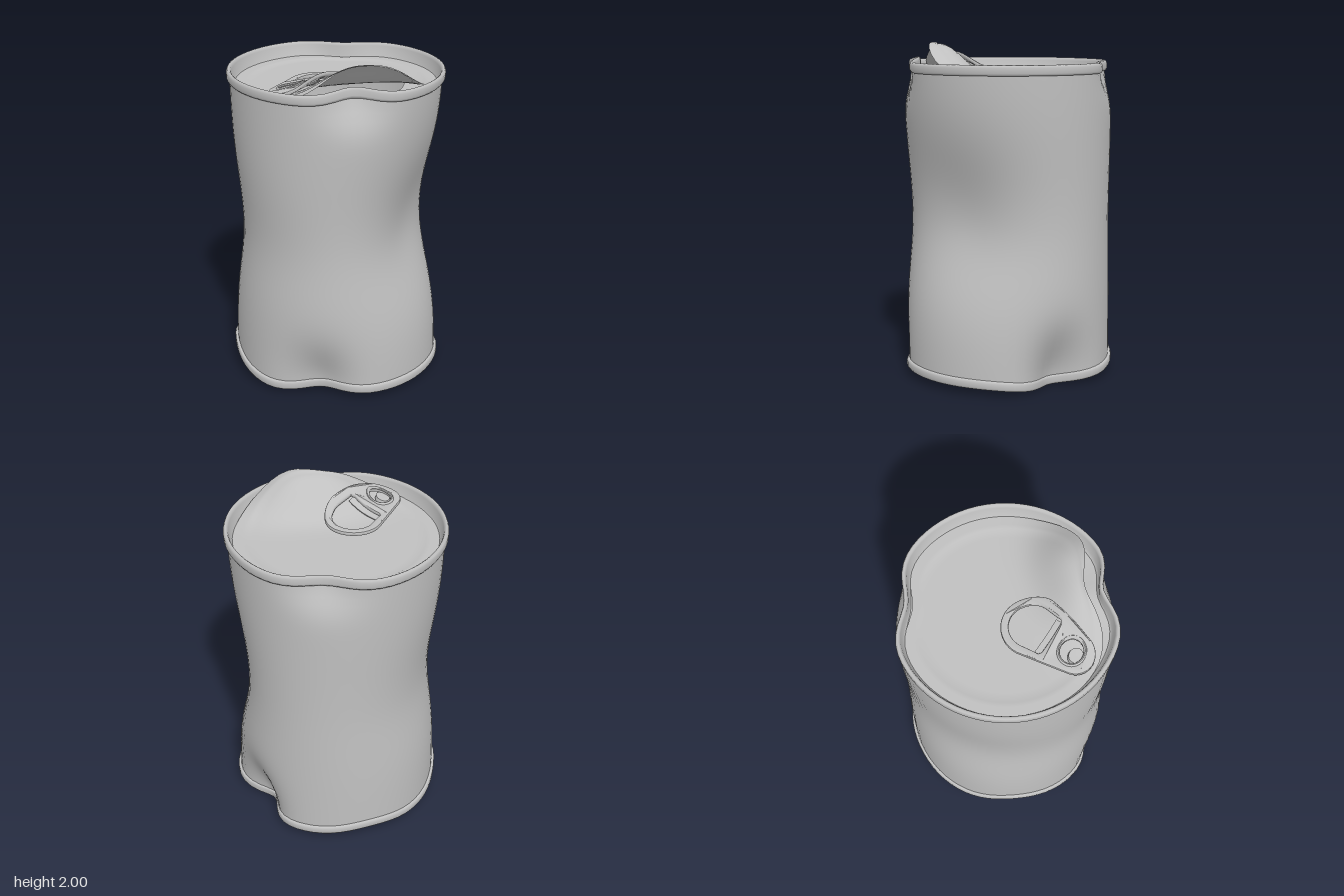
import * as THREE from 'three';
import { mergeVertices, toCreasedNormals } from 'three/addons/utils/BufferGeometryUtils.js';

const DEG = Math.PI / 180;
const metal = new THREE.MeshStandardMaterial({ color: 0xc0c0c0, side: THREE.DoubleSide });
metal.name = 'bare metal';

const bell = (d, s, power = 2) => Math.exp(-Math.pow(Math.abs(d / s), power));
// Bell curve around a compass angle (0 = +x, 90 = +z)
function around(theta, centre, width) {
  const d = ((theta / DEG - centre + 540) % 360) - 180;
  return bell(d, width);
}

// Dents: angle, angular width, height, extent below / above, depth
const DENTS = [
  [44, 15, 1.86, 0.14, 0.4, 0.1],      // top edge, front
  [-122, 17, 1.86, 0.15, 0.4, 0.085],  // top edge, back
  [-10, 50, 0.97, 0.42, 0.48, 0.175],  // big waist dent
  [160, 52, 0.95, 0.38, 0.45, 0.068],  // small waist dent
  [64, 18, 0.06, 0.3, 0.25, 0.12],     // bottom edge, front
  [-72, 17, 0.06, 0.3, 0.25, 0.16]     // bottom edge, back
];

function squeeze(theta, y) {
  let depth = 0;
  for (const [angle, width, h, below, above, amount] of DENTS) {
    depth += amount * around(theta, angle, width) * bell(y - h, y < h ? below : above);
  }
  return 1 - depth / 0.635;
}

function lift(theta, y) {
  const top = bell(y - 1.86, 0.12) * 0.028 * around(theta, 44, 15);
  const bottom = bell(y - 0.06, 0.2) * (
    0.075 * around(theta, 140, 20) + 0.035 * around(theta, -147, 20)
    - 0.04 * around(theta, -68, 24) - 0.02 * around(theta, 88, 22));
  return top + bottom;
}

// Height of the lid, curling up beside the front dent
function lidHeight(x, z) {
  const c = Math.cos(40 * DEG), s = Math.sin(40 * DEG);
  const dx = x - 0.38, dz = z - 0.22;
  const inward = Math.max(0, -dx * c - dz * s);
  const across = dz * c - dx * s;
  return 1.8 + 0.2 * bell(inward, 0.2, 2.3) * bell(across, across > 0 ? 0.35 : 0.3, 2.5);
}

// Turned profile whose vertices are moved by a rule
function turned(name, profile, move) {
  let g = new THREE.LatheGeometry(profile.map(([r, y]) => new THREE.Vector2(r, y)), 72);
  g.deleteAttribute('uv');
  g.deleteAttribute('normal');
  g = mergeVertices(g);
  const p = g.attributes.position;
  for (let i = 0; i < p.count; i++) {
    const x = p.getX(i), y = p.getY(i), z = p.getZ(i);
    p.setXYZ(i, ...move(x, y, z, Math.atan2(z, x)));
  }
  g.computeVertexNormals();
  const mesh = new THREE.Mesh(g, metal);
  mesh.name = name;
  return mesh;
}

function crush(x, y, z, theta) {
  const k = squeeze(theta, y);
  return [x * k, y + lift(theta, y), z * k];
}

// Lays a flat part onto the curved lid
function onLid(name, geometry, gap) {
  const p = geometry.attributes.position;
  for (let i = 0; i < p.count; i++) {
    p.setY(i, p.getY(i) + gap + lidHeight(p.getX(i), p.getZ(i)));
  }
  const mesh = new THREE.Mesh(toCreasedNormals(geometry, 0.7), metal);
  mesh.name = name;
  return mesh;
}

// Straight edge in short steps, so that it can follow the lid
function steppedLine(path, x, y) {
  const from = path.currentPoint.clone(), to = new THREE.Vector2(x, y);
  for (let i = 1; i <= 8; i++) {
    const q = from.clone().lerp(to, i / 8);
    path.lineTo(q.x, q.y);
  }
}

function pullTab() {
  const tab = new THREE.Group();
  tab.name = 'pullTab';

  // Flat key with a finger hole and a rivet hole
  const a = 8 * DEG;
  const shape = new THREE.Shape();
  shape.absarc(0, -0.168, 0.16, -a, Math.PI + a, false);
  steppedLine(shape, -0.1 * Math.cos(a), -0.455 - 0.1 * Math.sin(a));
  shape.absarc(0, -0.455, 0.1, Math.PI + a, 2 * Math.PI - a, false);
  steppedLine(shape, 0.16 * Math.cos(a), -0.168 - 0.16 * Math.sin(a));
  const finger = new THREE.Path();
  finger.absarc(0, -0.165, 0.128, -10 * DEG, 190 * DEG, false);
  finger.lineTo(-0.116, -0.25);
  finger.lineTo(-0.112, -0.29);
  finger.lineTo(-0.09, -0.305);
  steppedLine(finger, 0.09, -0.305);
  finger.lineTo(0.112, -0.29);
  finger.lineTo(0.116, -0.25);
  const hole = new THREE.Path();
  hole.absarc(0, -0.43, 0.072, 0, Math.PI * 2, true);
  shape.holes.push(finger, hole);
  const key = new THREE.ExtrudeGeometry(shape, {
    depth: 0.012, bevelEnabled: true, bevelSize: 0.007, bevelThickness: 0.006,
    bevelSegments: 2, curveSegments: 24
  });
  key.rotateX(-Math.PI / 2);
  tab.add(onLid('tabKey', key, 0.022));

  const collar = new THREE.TorusGeometry(0.072, 0.009, 8, 32);
  collar.rotateX(Math.PI / 2).translate(0, 0.018, 0.43);
  tab.add(onLid('rivetCollar', collar, 0.022));

  const rivet = new THREE.CylinderGeometry(0.04, 0.046, 0.024, 28);
  rivet.translate(0, 0.012, 0.46);
  tab.add(onLid('rivet', rivet, 0));

  const lip = new THREE.BoxGeometry(0.2, 0.006, 0.05, 8, 1, 2);
  lip.translate(0, 0.003, 0.285);
  tab.add(onLid('fingerLip', lip, 0.008));
  return tab;
}

export function createModel() {
  const can = new THREE.Group();
  can.name = 'crushedCan';

  // Side wall, slightly flattened at the front
  const wall = [];
  for (let i = 0; i <= 40; i++) wall.push([0.624, 0.07 + (1.78 * i) / 40]);
  can.add(turned('body', wall, (x, y, z, t) => {
    const [px, py, pz] = crush(x, y, z, t);
    return [px, py, pz * (1 - 0.03 * around(t, 90, 45) * bell(y - 0.9, 0.3))];
  }));

  // Rolled rims
  can.add(turned('topRim', [
    [0.615, 1.828], [0.634, 1.825], [0.641, 1.838], [0.641, 1.868], [0.635, 1.881],
    [0.626, 1.885], [0.617, 1.879], [0.612, 1.865], [0.6, 1.805], [0.585, 1.793]
  ], crush));
  can.add(turned('bottomRim', [
    [0.58, 0.12], [0.588, 0.06], [0.598, 0.046], [0.616, 0.04], [0.634, 0.043],
    [0.641, 0.055], [0.641, 0.082], [0.634, 0.094], [0.615, 0.096]
  ], crush));

  // Ledge below the lifted lid
  can.add(turned('lidLedge', [[0.6, 1.788], [0.5, 1.785], [0.4, 1.785]], crush));

  // Lid with a shallow stamped step, its edge pulled in beside the front dent
  const lid = [[0.592, 0], [0.565, 0], [0.54, 0], [0.515, 0], [0.5, -0.008]];
  for (let r = 0.46; r > 0.03; r -= 0.04) lid.push([r, -0.008]);
  lid.push([0, -0.008]);
  can.add(turned('lid', lid, (x, y, z, t) => {
    const edge = Math.pow(Math.hypot(x, z) / 0.592, 3);
    const k = 1 - edge * Math.max(1 - squeeze(t, 1.86), 0.28 * around(t, 43, 26));
    return [x * k, y + lidHeight(x * k, z * k), z * k];
  }));
  can.add(pullTab());

  // Recessed base
  can.add(turned('base', [[0, 0.08], [0.2, 0.08], [0.4, 0.08], [0.6, 0.08]], (x, y, z, t) => {
    const k = 1 - Math.pow(Math.hypot(x, z) / 0.6, 2) * (1 - squeeze(t, 0.08));
    return [x * k, y, z * k];
  }));

  return can;
}
